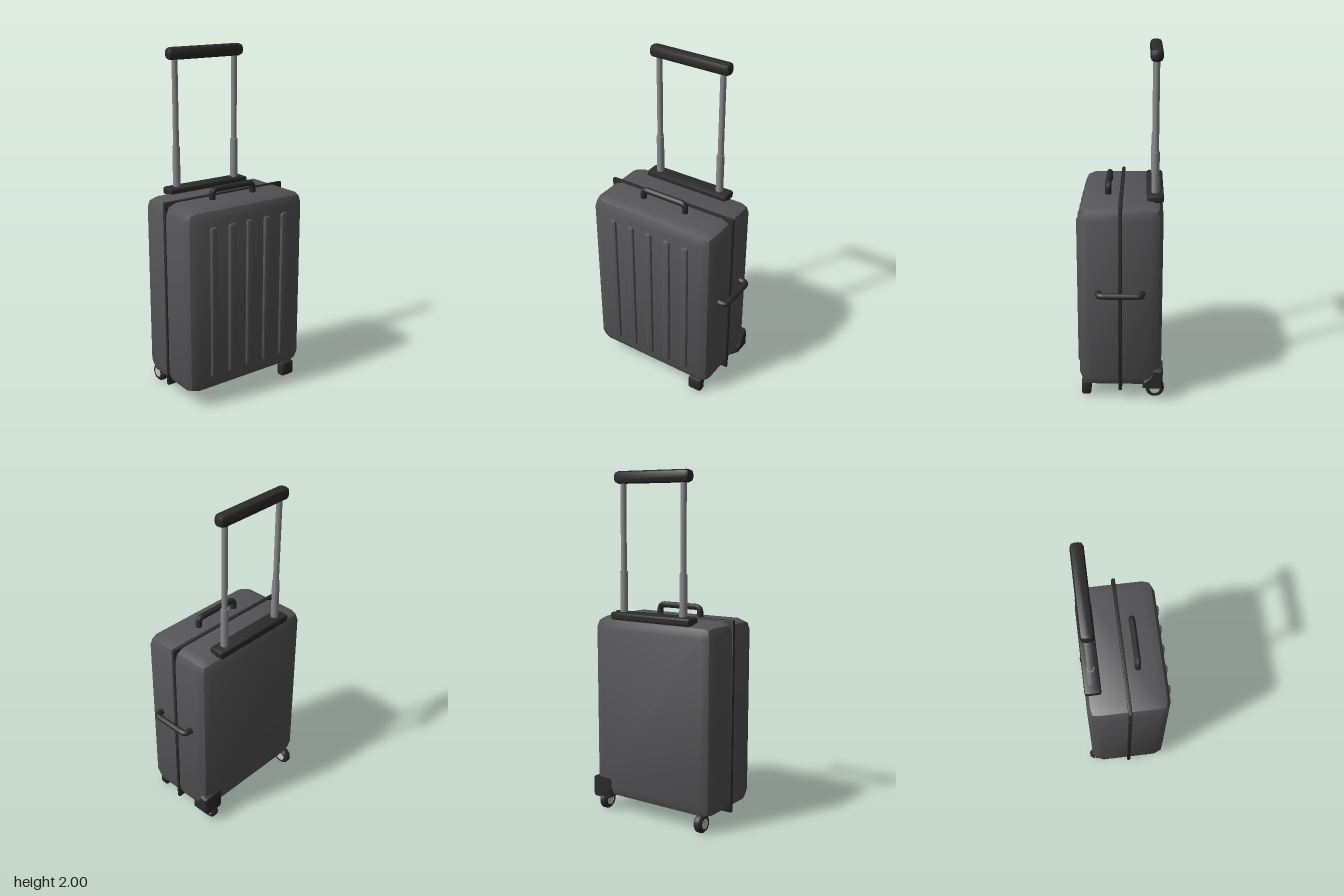
import * as THREE from 'three';
import { toCreasedNormals } from 'three/addons/utils/BufferGeometryUtils.js';
import { RoundedBoxGeometry } from 'three/addons/geometries/RoundedBoxGeometry.js';

const material = (name, color) => {
  const m = new THREE.MeshStandardMaterial({ color });
  m.name = name;
  return m;
};

export function createModel() {
  const model = new THREE.Group();
  model.name = 'suitcase';
  const shellGrey = material('shell grey', 0x555557);
  const black = material('black plastic', 0x2b2b2b);
  const steel = material('steel', 0x8a8b8d);
  const hubGrey = material('hub grey', 0xc4c4c4);
  const MID = -0.03; // middle of the case in x

  const add = (name, geometry, mat, x = 0, y = 0, z = 0, parent = model) => {
    const mesh = new THREE.Mesh(geometry, mat);
    mesh.name = name;
    mesh.position.set(x, y, z);
    parent.add(mesh);
    return mesh;
  };
  // box with two-facet edges and a crease down the middle of each edge
  const bevelBox = (w, h, d, r) => toCreasedNormals(new RoundedBoxGeometry(w, h, d, 1, r), 0.6);

  // shell and the square seam band around it
  add('shell', bevelBox(0.82, 1.095, 0.472, 0.068), shellGrey, MID, 0.627, 0);
  add('seamBand', bevelBox(0.834, 1.113, 0.022, 0.006), black, MID, 0.627, 0);

  // raised ribs on the front
  for (let i = -2; i <= 2; i++) {
    add('frontRib', bevelBox(0.045, 0.895, 0.04, 0.013), shellGrey, MID + i * 0.1235, 0.623, 0.231);
  }

  // U-shaped carry handles: legs sink into the shell, corners are rounded
  const carryHandle = (name, half, rise) => {
    const r = 0.03;
    const v = (x, y) => new THREE.Vector3(x, y, 0);
    const path = new THREE.CurvePath();
    path.add(new THREE.LineCurve3(v(-half, -0.02), v(-half, rise - r)));
    path.add(new THREE.QuadraticBezierCurve3(v(-half, rise - r), v(-half, rise), v(r - half, rise)));
    path.add(new THREE.LineCurve3(v(r - half, rise), v(half - r, rise)));
    path.add(new THREE.QuadraticBezierCurve3(v(half - r, rise), v(half, rise), v(half, rise - r)));
    path.add(new THREE.LineCurve3(v(half, rise - r), v(half, -0.02)));
    return add(name, new THREE.TubeGeometry(path, 48, 0.018, 8), black);
  };
  carryHandle('topHandle', 0.142, 0.057).position.set(MID, 1.174, 0.075);
  const side = carryHandle('sideHandle', 0.122, 0.047);
  side.position.set(0.38, 0.68, 0);
  side.rotation.set(-Math.PI / 2, 0, -Math.PI / 2, 'YXZ');
  side.rotation.set(Math.PI / 2, Math.PI / 2, 0, 'YXZ');

  // telescopic pull handle
  const pull = new THREE.Group();
  pull.name = 'pullHandle';
  pull.position.set(MID, 0, -0.191);
  model.add(pull);
  add('handleBase', bevelBox(0.55, 0.046, 0.095, 0.014), black, 0, 1.183, 0, pull);
  for (const s of [-1, 1]) {
    add('lowerTube', new THREE.CylinderGeometry(0.022, 0.022, 0.25, 12), steel, s * 0.206, 1.315, 0, pull);
    add('upperTube', new THREE.CylinderGeometry(0.017, 0.017, 0.54, 12), steel, s * 0.206, 1.69, 0, pull);
  }
  add('grip', bevelBox(0.512, 0.07, 0.07, 0.024), black, 0, 1.965, 0, pull);

  // rear wheels: bevelled tyre with a pale hub disc on each side
  const tyreProfile = [[0.03, -0.024], [0.043, -0.024], [0.054, -0.013], [0.054, 0.013], [0.043, 0.024], [0.03, 0.024]]
    .map(([r, h]) => new THREE.Vector2(r, h));
  for (const s of [-1, 1]) {
    const wheel = new THREE.Group();
    wheel.name = 'rearWheel';
    wheel.position.set(MID + s * 0.34, 0.054, -0.2);
    wheel.rotation.z = Math.PI / 2;
    model.add(wheel);
    add('tyre', toCreasedNormals(new THREE.LatheGeometry(tyreProfile, 20), 0.6), black, 0, 0, 0, wheel);
    add('hub', new THREE.CylinderGeometry(0.031, 0.031, 0.042, 20), hubGrey, 0, 0, 0, wheel);
  }

  // wheel housing wrapped around the rear left corner
  const outline = [[0.14, 0.087], [0.14, 0.12], [0.175, 0.145], [0.195, 0.19], [0.235, 0.19], [0.235, 0.087]]
    .map(([a, b]) => new THREE.Vector2(a, b));
  const housing = new THREE.ExtrudeGeometry(new THREE.Shape(outline), {
    depth: 0.105, bevelEnabled: true, bevelThickness: 0.015, bevelSize: 0.01, bevelSegments: 1,
  });
  housing.rotateY(Math.PI / 2);
  add('wheelHousing', toCreasedNormals(housing, 0.6), black, 0.265, 0, 0);

  // front standing foot
  add('frontFoot', bevelBox(0.09, 0.09, 0.055, 0.014), black, 0.285, 0.05, 0.2);
  return model;
}
